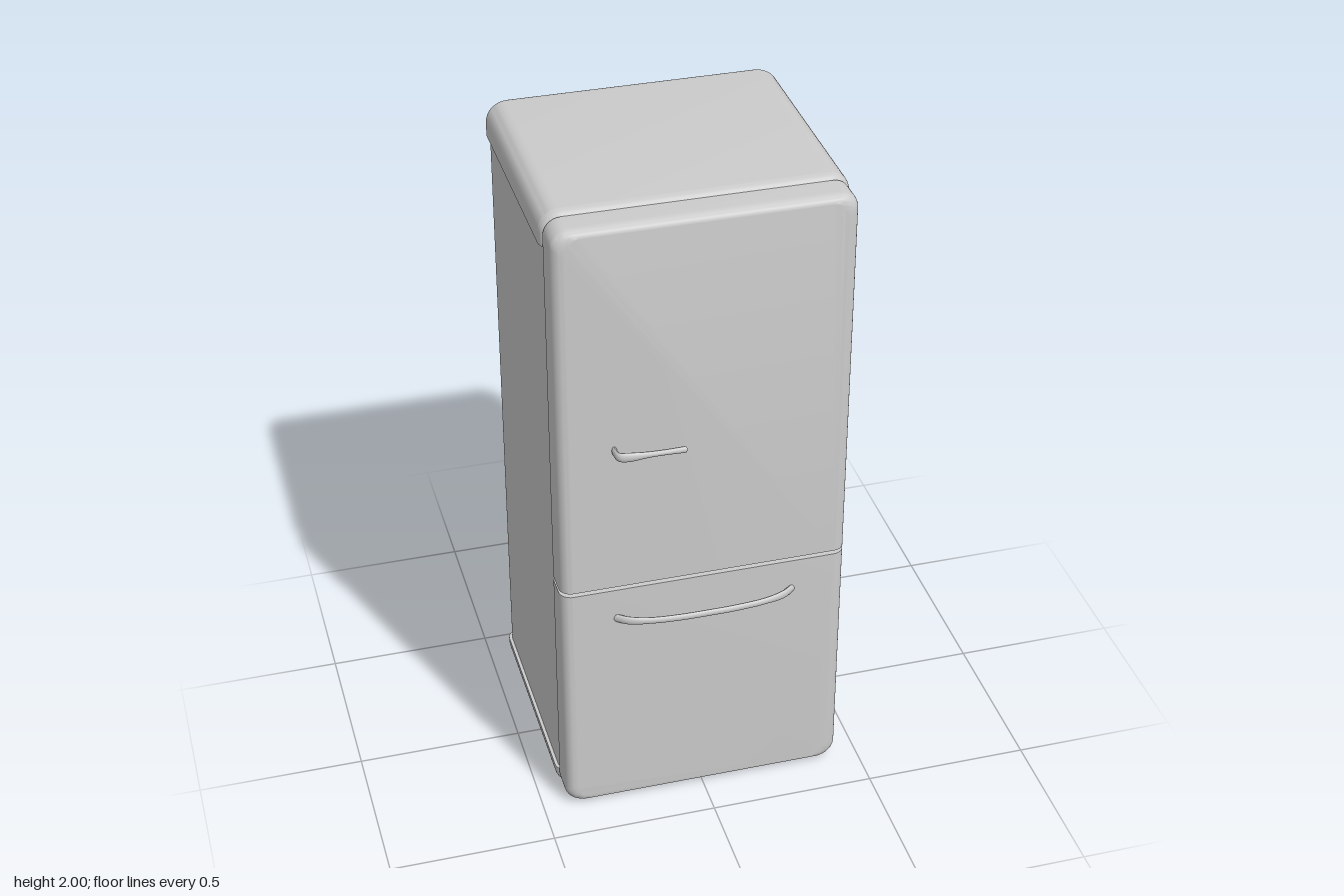
import * as THREE from 'three';
import { toCreasedNormals } from 'three/addons/utils/BufferGeometryUtils.js';

const material = new THREE.MeshStandardMaterial({ color: 0xcccccc });

// Front outline of a slab, counter-clockwise, with rounded bottom and top corners
function outline(hx, y0, y1, rBottom, rTop) {
  const points = [];
  const corner = (cx, cy, r, start) => {
    const n = r > 0 ? 8 : 0;
    for (let i = 0; i <= n; i++) {
      const a = start + (n ? (i / n) * Math.PI / 2 : 0);
      points.push([cx + r * Math.cos(a), cy + r * Math.sin(a)]);
    }
  };
  corner(hx - rBottom, y0 + rBottom, rBottom, -Math.PI / 2);
  corner(hx - rTop, y1 - rTop, rTop, 0);
  corner(-hx + rTop, y1 - rTop, rTop, Math.PI / 2);
  corner(-hx + rBottom, y0 + rBottom, rBottom, Math.PI);
  return points;
}

// Slab along z whose outline shrinks in a quarter round at its front (and back).
// edge is the rounding at the sides; a rounded top or bottom uses edgeY.
function slab({ hx, y0, y1, z0, z1, rBottom = 0, rTop = 0, edge, edgeY = 0.02, back = true }) {
  const profile = outline(hx, y0, y1, rBottom, rTop);
  const steps = 8;
  const rings = [];
  const addRing = (z, inset) => {
    const lo = y0 + (rBottom ? edgeY * inset : 0);
    const hi = y1 - (rTop ? edgeY * inset : 0);
    rings.push(profile.map(([x, y]) => [
      x * (hx - edge * inset) / hx,
      lo + (y - y0) / (y1 - y0) * (hi - lo),
      z,
    ]));
  };
  if (back) {
    for (let i = 0; i <= steps; i++) {
      const a = (i / steps) * Math.PI / 2;
      addRing(z0 + edge * (1 - Math.sin(a)), 1 - Math.cos(a));
    }
    rings.reverse();
    rings.sort((a, b) => a[0][2] - b[0][2]);
  } else addRing(z0, 0);
  for (let i = 0; i <= steps; i++) {
    const a = (i / steps) * Math.PI / 2;
    addRing(z1 - edge * (1 - Math.sin(a)), 1 - Math.cos(a));
  }

  const n = profile.length;
  const positions = rings.flat(2);
  const index = [];
  for (let i = 0; i < rings.length - 1; i++) {
    for (let j = 0; j < n; j++) {
      const a = i * n + j, b = i * n + (j + 1) % n;
      index.push(a, b, b + n, a, b + n, a + n);
    }
  }
  // flat ends
  const last = (rings.length - 1) * n;
  for (let j = 1; j < n - 1; j++) {
    index.push(0, j + 1, j, last, last + j, last + j + 1);
  }
  const geometry = new THREE.BufferGeometry();
  geometry.setAttribute('position', new THREE.Float32BufferAttribute(positions, 3));
  geometry.setIndex(index);
  return toCreasedNormals(geometry, 0.6);
}

// Handle bar swept through [x, z] points, its height varying along x
function handle(points, y, radius, heightAt) {
  const group = new THREE.Group();
  const curve = new THREE.CatmullRomCurve3(points.map(([x, z]) => new THREE.Vector3(x, 0, z)));
  const bar = new THREE.TubeGeometry(curve, 64, radius, 12);
  const pos = bar.attributes.position;
  for (let i = 0; i < pos.count; i++) pos.setY(i, pos.getY(i) * heightAt(pos.getX(i)));
  bar.computeVertexNormals();
  group.add(new THREE.Mesh(bar, material));
  // rounded ends
  for (const [x, z] of [points[0], points[points.length - 1]]) {
    const end = new THREE.Mesh(new THREE.SphereGeometry(radius, 12, 8), material);
    end.scale.y = heightAt(x);
    end.position.set(x, 0, z);
    group.add(end);
  }
  group.position.y = y;
  return group;
}

export function createModel() {
  const model = new THREE.Group();
  const add = (name, object) => {
    object.name = name;
    model.add(object);
  };
  const addSlab = (name, options) => add(name, new THREE.Mesh(slab(options), material));

  // Cabinet with its slightly wider top and bottom caps
  addSlab('cabinet', { hx: 0.427, y0: 0.03, y1: 1.93, z0: -0.426, z1: 0.275, edge: 0.03 });
  const cap = { hx: 0.437, z0: -0.433, z1: 0.281, edge: 0.035 };
  addSlab('topCap', { ...cap, y0: 1.9, y1: 2, rTop: 0.06 });
  addSlab('bottomCap', { ...cap, y0: 0, y1: 0.065, rBottom: 0.05 });

  // Doors, square at the back and along the gap between them
  const door = { hx: 0.43, z0: 0.28, z1: 0.378, edge: 0.036, back: false };
  addSlab('upperDoor', { ...door, y0: 0.81, y1: 1.99, rTop: 0.05 });
  addSlab('lowerDoor', { ...door, y0: 0.008, y1: 0.798, rBottom: 0.05 });

  // Short lever handle, thick at its mount and slim in the middle
  add('upperHandle', handle(
    [[-0.267, 0.372], [-0.267, 0.395], [-0.261, 0.413], [-0.24, 0.42], [-0.16, 0.422], [-0.076, 0.424]],
    1.285, 0.0075,
    (x) => 1.1 + 0.9 * Math.exp(-(((x + 0.245) / 0.05) ** 2)) + 0.2 * Math.exp(-(((x + 0.08) / 0.03) ** 2)),
  ));

  // Long bowed drawer handle
  add('lowerHandle', handle(
    [[-0.272, 0.372], [-0.235, 0.398], [-0.17, 0.415], [-0.08, 0.423], [0, 0.424],
      [0.08, 0.423], [0.17, 0.415], [0.235, 0.398], [0.272, 0.372]],
    0.696, 0.007,
    (x) => 1.5 + 0.45 * THREE.MathUtils.smoothstep(Math.abs(x), 0.17, 0.24),
  ));

  return model;
}
